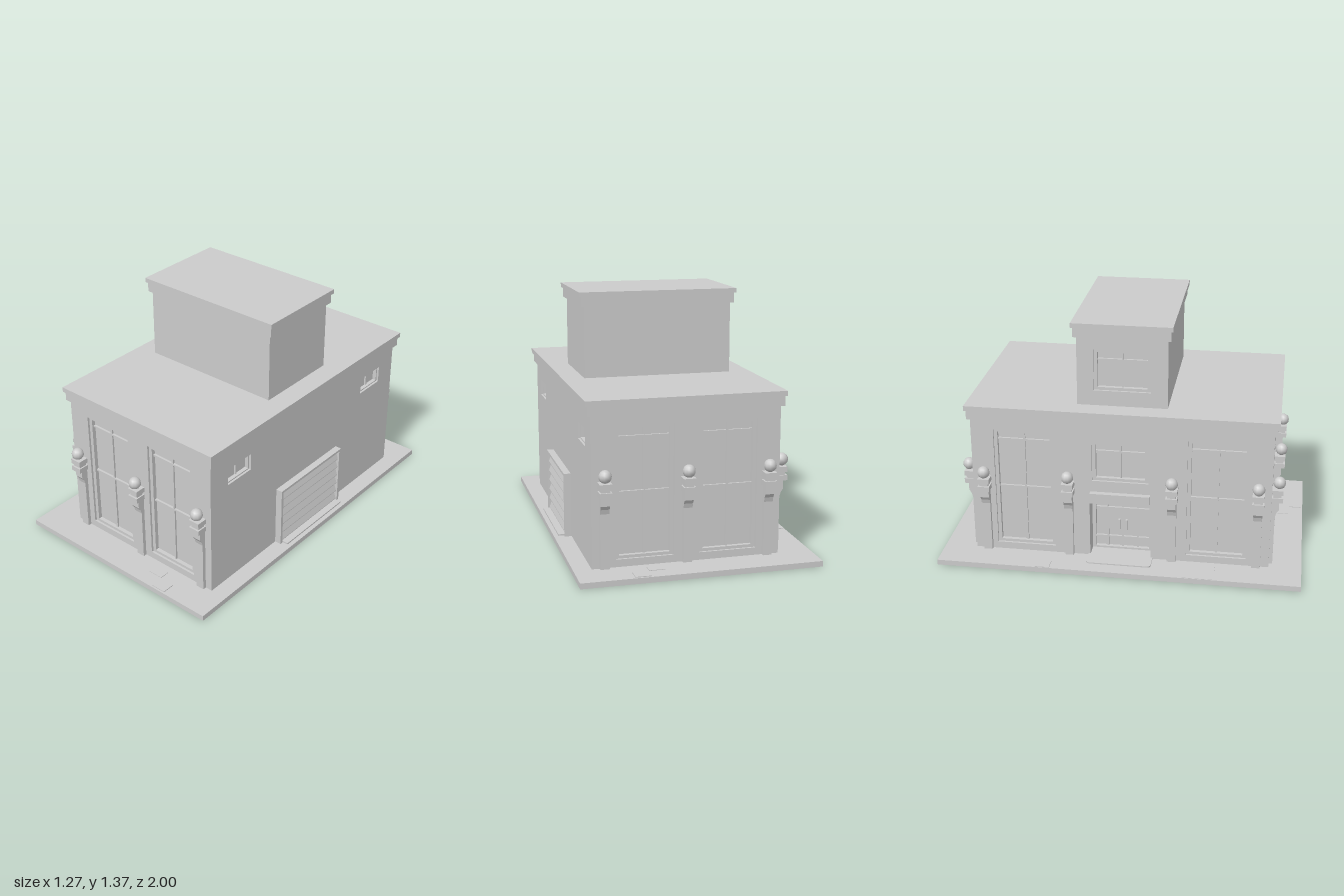
import * as THREE from 'three';

const mat = new THREE.MeshStandardMaterial({ color: 0xcccccc });
const CX = 0.0425, HALF_W = 0.4975, HALF_D = 0.82, WALL = 0.05;

function add(parent, geometry, name, x = 0, y = 0, z = 0) {
  const mesh = new THREE.Mesh(geometry, mat);
  mesh.name = name;
  mesh.position.set(x, y, z);
  parent.add(mesh);
  return mesh;
}

// Box given by its min and max on each axis
function slab(parent, name, x0, x1, y0, y1, z0, z1) {
  return add(parent, new THREE.BoxGeometry(x1 - x0, y1 - y0, z1 - z0), name,
    (x0 + x1) / 2, (y0 + y1) / 2, (z0 + z1) / 2);
}

const rect = (x0, x1, y0, y1) =>
  [[x0, y0], [x1, y0], [x1, y1], [x0, y1]].map(p => new THREE.Vector2(...p));

function extrude(points, holes, depth) {
  const shape = new THREE.Shape(points);
  holes.forEach(h => shape.holes.push(new THREE.Path(h)));
  return new THREE.ExtrudeGeometry(shape, { depth, bevelEnabled: false });
}

// A facade works in local coordinates: x along the wall, y up, z outward, wall face at z = 0
function facade(parent, name, x, z, angle) {
  const g = new THREE.Group();
  g.name = name;
  g.position.set(x, 0, z);
  g.rotation.y = angle;
  parent.add(g);
  return g;
}

function wall(parent, half, y0, y1, openings) {
  const holes = openings.map(o => rect(o.u - o.w / 2, o.u + o.w / 2, o.y0, o.y1));
  add(parent, extrude(rect(-half, half, y0, y1), holes, WALL), 'wall', 0, 0, -WALL);
}

// Recessed window: stepped frame, pane and glazing bars
function glazing(parent, o, name = 'window', face = 0) {
  const g = new THREE.Group();
  g.name = name;
  g.position.z = face;
  parent.add(g);
  const a = o.u - o.w / 2, b = o.u + o.w / 2, t = o.frame ?? 0.02;
  add(g, extrude(rect(a, b, o.y0, o.y1), [rect(a + t, b - t, o.y0 + t * 0.8, o.y1 - t * 0.8)], 0.033),
    'frame', 0, 0, -0.045);
  slab(g, 'pane', a, b, o.y0, o.y1, -0.045, -0.034);
  for (const v of o.v ?? [0]) {
    slab(g, 'mullion', o.u + v - 0.005, o.u + v + 0.005, o.y0 + 0.01, o.y1 - 0.01, -0.04, -0.024);
  }
  for (const y of o.h ?? []) slab(g, 'transom', a + 0.01, b - 0.01, y - 0.005, y + 0.005, -0.04, -0.022);
}

// Bracketed pilaster with two capital blocks and a ball finial
const pilasterSide = [[0, 0.03], [0.02, 0.03], [0.02, 0.32], [0.027, 0.345], [0.04, 0.365], [0.04, 0.41], [0, 0.41]];
function pilaster(parent, u) {
  const g = new THREE.Group();
  g.name = 'pilaster';
  g.position.x = u;
  parent.add(g);
  const shaft = extrude(pilasterSide.map(p => new THREE.Vector2(...p)), [], 0.048);
  shaft.translate(0, 0, -0.024).rotateY(-Math.PI / 2);
  add(g, shaft, 'shaft');
  slab(g, 'capitalLower', -0.032, 0.032, 0.41, 0.438, 0, 0.06);
  slab(g, 'neck', -0.024, 0.024, 0.435, 0.458, 0.006, 0.05);
  slab(g, 'capitalUpper', -0.032, 0.032, 0.455, 0.483, 0, 0.06);
  add(g, new THREE.SphereGeometry(0.034, 10, 8), 'ball', 0, 0.518, 0.037);
}

// Two-step cornice around a block, grown outward from its footprint
function cornice(parent, name, hw, hd, y0, y1, y2) {
  slab(parent, name + 'Band', CX - hw - 0.017, CX + hw + 0.018, y0, y1, -hd - 0.016, hd + 0.016);
  slab(parent, name + 'Cap', CX - hw - 0.027, CX + hw + 0.029, y1, y2, -hd - 0.026, hd + 0.026);
}

// Wall outline on the ground, with the entrance notch and the garage bump, inset by d
function footprint(d) {
  const l = CX - HALF_W + d, r = CX + HALF_W - d, z = HALF_D - d, n = 0.17 + d, g = 0.275 - d;
  return [[l, -z], [r, -z], [r, -g], [r + 0.02, -g], [r + 0.02, g], [r, g], [r, z], [l, z],
    [l, n], [l + 0.09, n], [l + 0.09, -n], [l, -n]].map(p => new THREE.Vector2(...p));
}

export function createModel() {
  const model = new THREE.Group();
  model.name = 'building';

  // Ground slab with a groove under the walls
  slab(model, 'ground', -0.635, 0.635, 0.015, 0.03, -1, 1);
  add(model, extrude(rect(-0.635, 0.635, -1, 1), [footprint(0)], 0.015).rotateX(-Math.PI / 2), 'groundEdge');
  add(model, extrude(footprint(0.018), [], 0.015).rotateX(-Math.PI / 2), 'floor');

  // Loose paving stones
  for (const s of [1, -1]) {
    slab(model, 'pavingStone', 0.27, 0.355, 0.028, 0.034, s * 0.955 - 0.035, s * 0.955 + 0.035);
    slab(model, 'pavingStone', 0.18, 0.265, 0.028, 0.033, s * 0.885 - 0.03, s * 0.885 + 0.03);
  }
  slab(model, 'pavingStone', -0.632, -0.555, 0.028, 0.034, -0.45, -0.37);
  slab(model, 'pavingStrip', -0.632, -0.49, 0.028, 0.032, 0.36, 0.53);

  // Front and back: two tall windows between three pilasters
  const tall = (u, w) => ({ u, w, y0: 0.07, y1: 0.76, h: [0.415, 0.7] });
  for (const s of [1, -1]) {
    const f = facade(model, s > 0 ? 'frontFacade' : 'backFacade', CX, s * HALF_D, s > 0 ? 0 : Math.PI);
    const windows = [tall(-0.22, 0.305), tall(0.22, 0.305)];
    wall(f, HALF_W - WALL, 0.02, 0.83, windows);
    windows.forEach(o => glazing(f, o));
    [-0.4325, 0, 0.4325].forEach(u => pilaster(f, u));
  }

  // Entrance side: tall windows, a small window and the recessed double door
  const entrance = facade(model, 'entranceFacade', CX - HALF_W, 0, -Math.PI / 2);
  const shopWindows = [tall(-0.53, 0.33), tall(0.53, 0.33),
    { u: 0, w: 0.31, y0: 0.49, y1: 0.72, h: [0.66] }];
  const door = { u: 0, w: 0.34, y0: 0.025, y1: 0.35 };
  wall(entrance, HALF_D, 0.02, 0.83, [...shopWindows, door]);
  shopWindows.forEach(o => glazing(entrance, o));
  [-0.75, -0.285, 0.285, 0.75].forEach(u => pilaster(entrance, u));
  add(entrance, extrude(rect(-0.19, 0.19, 0.02, 0.37), [rect(-0.17, 0.17, 0.025, 0.35)], 0.1),
    'doorRecess', 0, 0, -0.14);
  glazing(entrance, { ...door, v: [-0.085, 0, 0.085], h: [0.1, 0.28] }, 'doubleDoor', -0.075);
  for (const s of [-1, 1]) slab(entrance, 'doorHandle', s * 0.02 - 0.005, s * 0.02 + 0.005, 0.15, 0.21, -0.11, -0.09);
  slab(entrance, 'signPanel', -0.165, 0.165, 0.375, 0.425, 0, 0.03);

  // Doorstep with rounded outer corners
  const step = new THREE.Shape();
  step.moveTo(-0.18, 0).lineTo(0.18, 0).lineTo(0.18, 0.075);
  step.quadraticCurveTo(0.18, 0.1, 0.155, 0.1).lineTo(-0.155, 0.1);
  step.quadraticCurveTo(-0.18, 0.1, -0.18, 0.075);
  const stepGeo = new THREE.ExtrudeGeometry(step, { depth: 0.01, bevelEnabled: false, curveSegments: 6 });
  add(entrance, stepGeo.rotateX(Math.PI / 2), 'doorstep', 0, 0.037, 0);

  // Garage side: two small high windows and the roller door
  const garage = facade(model, 'garageFacade', CX + HALF_W, 0, Math.PI / 2);
  const vents = [-0.593, 0.593].map(u => ({ u, w: 0.185, y0: 0.635, y1: 0.73, frame: 0.008 }));
  wall(garage, HALF_D, 0.02, 0.83, vents);
  vents.forEach(o => glazing(garage, o));
  for (const s of [-1, 1]) slab(garage, 'garageJamb', s * 0.269 - 0.008, s * 0.269 + 0.008, 0.03, 0.385, 0, 0.038);
  slab(garage, 'garageLintel', -0.262, 0.262, 0.371, 0.385, 0, 0.038);
  slab(garage, 'garageSill', -0.255, 0.255, 0.028, 0.038, 0, 0.07);
  for (let i = 0; i < 6; i++) {
    const slat = extrude([[0, 0], [0.03, 0], [0.03, 0.004], [0.012, 0.0555], [0, 0.0555]]
      .map(p => new THREE.Vector2(...p)), [], 0.524);
    slat.translate(0, 0, -0.262).rotateY(-Math.PI / 2);
    add(garage, slat, 'garageSlat', 0, 0.038 + i * 0.0555, 0);
  }

  // Main roof
  cornice(model, 'roof', HALF_W, HALF_D, 0.82, 0.873, 0.9);

  // Upper storey with one window over the entrance
  const uw = 0.4085, ud = 0.245;
  slab(model, 'upperStorey', CX - uw + WALL, CX + uw, 0.9, 1.29, -ud, ud);
  const upper = facade(model, 'upperFacade', CX - uw, 0, -Math.PI / 2);
  const upperWindow = { u: 0, w: 0.31, y0: 0.985, y1: 1.215, h: [1.155] };
  wall(upper, ud, 0.9, 1.29, [upperWindow]);
  glazing(upper, upperWindow);
  cornice(model, 'upperRoof', uw, ud, 1.285, 1.34, 1.365);

  return model;
}
